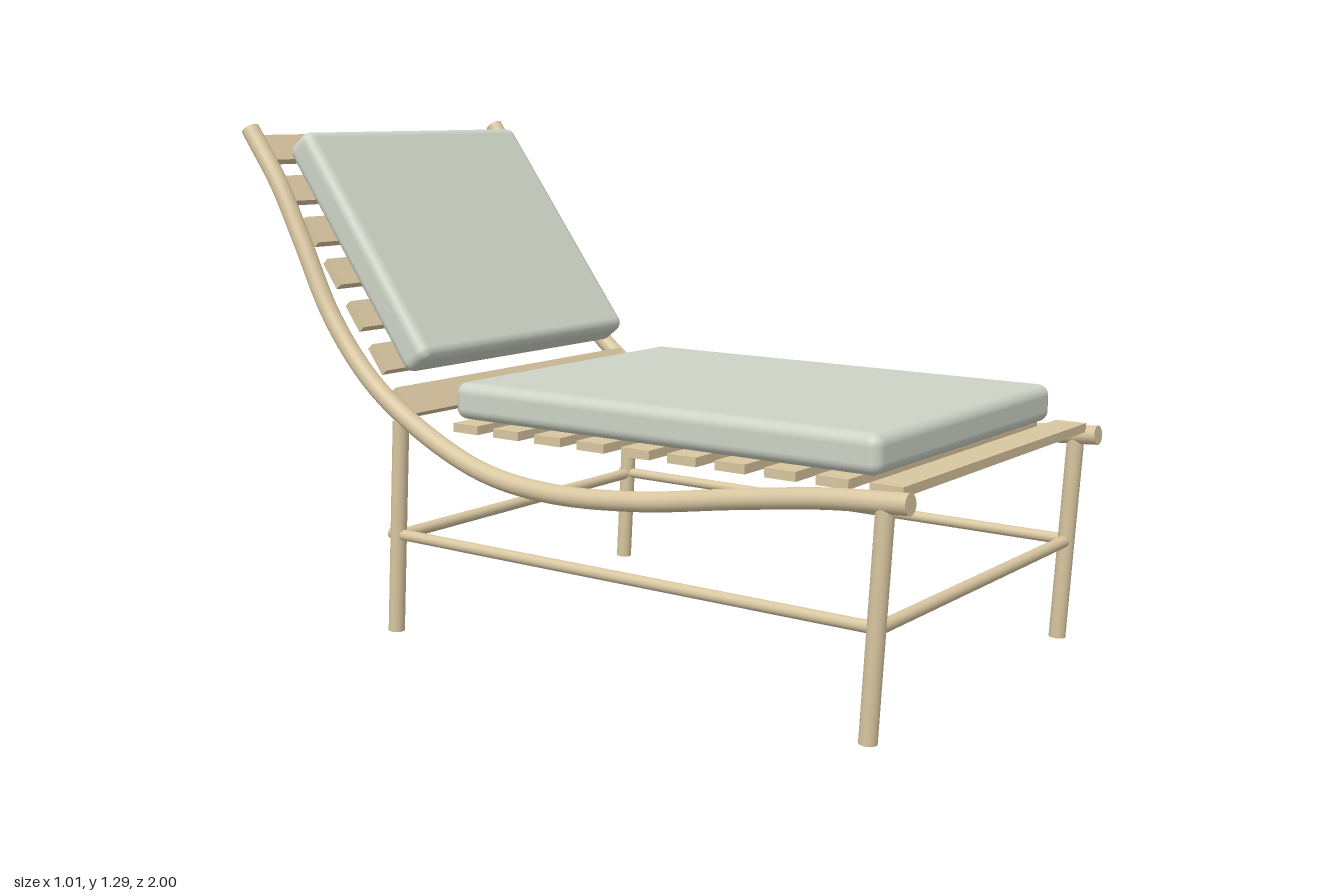
import * as THREE from 'three';
import { RoundedBoxGeometry } from 'three/addons/geometries/RoundedBoxGeometry.js';

const wood = new THREE.MeshStandardMaterial({ color: 0xd8c6a0 });
const fabric = new THREE.MeshStandardMaterial({ color: 0xcdd3c6 });
const V = (x, y, z) => new THREE.Vector3(x, y, z);

function add(parent, name, geometry, material, position) {
  const mesh = new THREE.Mesh(geometry, material);
  mesh.name = name;
  if (position) mesh.position.copy(position);
  parent.add(mesh);
  return mesh;
}

// Round wooden rod between two points
function rod(parent, name, a, b, radius) {
  const dir = b.clone().sub(a);
  const mesh = add(parent, name, new THREE.CylinderGeometry(radius, radius, dir.length(), 20), wood,
    a.clone().add(b).multiplyScalar(0.5));
  mesh.quaternion.setFromUnitVectors(V(0, 1, 0), dir.normalize());
}

// Swept side rail with flat end caps
function sideRail(parent, x) {
  const profile = [[1, 0.53], [0.8, 0.516], [0.57, 0.484], [0.3, 0.442], [0.03, 0.427], [-0.18, 0.453],
    [-0.395, 0.54], [-0.555, 0.645], [-0.69, 0.797], [-0.795, 0.99], [-0.876, 1.135], [-0.98, 1.274]];
  const curve = new THREE.CatmullRomCurve3(profile.map(([z, y]) => V(x, y, z)));
  const radius = 0.024;
  const rail = new THREE.Group();
  rail.name = 'sideRail';
  parent.add(rail);
  add(rail, 'railTube', new THREE.TubeGeometry(curve, 80, radius, 20), wood);
  for (const t of [0, 1]) {
    const cap = add(rail, 'railCap', new THREE.CircleGeometry(radius, 20), wood, curve.getPoint(t));
    const out = curve.getTangent(t).multiplyScalar(t ? 1 : -1);
    cap.quaternion.setFromUnitVectors(V(0, 0, 1), out);
  }
}

// Row of flat slats running along local z
function slats(parent, name, count, start, step) {
  for (let i = 0; i < count; i++) {
    add(parent, name, new THREE.BoxGeometry(0.93, 0.022, 0.08), wood, V(0, 0, start + i * step));
  }
}

export function createModel() {
  const model = new THREE.Group();
  model.name = 'loungeChair';
  const railX = 0.48, step = 0.131;

  // Side frames: rail, splayed legs and long stretcher
  for (const x of [-railX, railX]) {
    sideRail(model, x);
    rod(model, 'frontLeg', V(x, 0, 0.91), V(x, 0.525, 0.942), 0.021);
    rod(model, 'rearLeg', V(x, 0, -0.482), V(x, 0.55, -0.45), 0.021);
    rod(model, 'sideStretcher', V(x, 0.255, 0.925), V(x, 0.255, -0.492), 0.014);
  }

  // Cross stretchers between the legs
  for (const z of [0.925, -0.467]) {
    rod(model, 'crossStretcher', V(-railX, 0.252, z), V(railX, 0.252, z), 0.015);
  }

  // Seat: level slats and cushion
  const seat = new THREE.Group();
  seat.name = 'seat';
  seat.position.y = 0.549;
  slats(seat, 'seatSlat', 10, -0.245, step);
  add(seat, 'seatCushion', new RoundedBoxGeometry(0.865, 0.093, 1.21, 5, 0.028), fabric, V(0, 0.0595, 0.29));
  model.add(seat);

  // Backrest: same construction, tilted so local -z runs up the back
  const back = new THREE.Group();
  back.name = 'backrest';
  back.position.set(0, 0.906, -0.701);
  back.rotation.x = Math.atan2(4, 3);
  slats(back, 'backSlat', 7, -3 * step, step);
  add(back, 'backCushion', new RoundedBoxGeometry(0.83, 0.095, 0.71, 5, 0.028), fabric, V(0, 0.0585, -0.028));
  model.add(back);

  return model;
}
